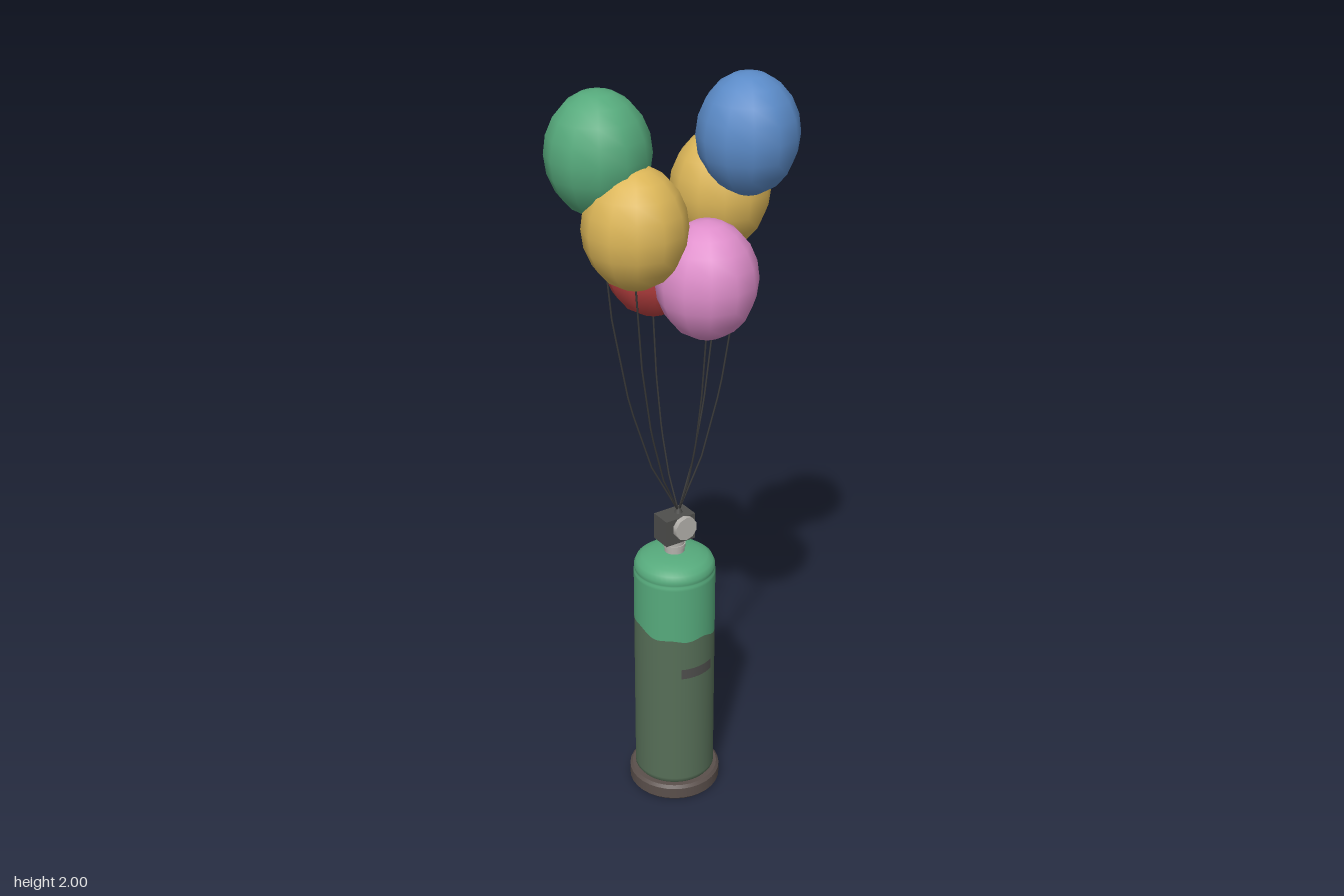
import * as THREE from 'three';

const mat = (name, color, side = THREE.FrontSide) => {
  const m = new THREE.MeshStandardMaterial({ color, side });
  m.name = name;
  return m;
};

export function createModel() {
  const model = new THREE.Group();
  model.name = 'balloonsOnGasTank';
  const M = {
    green: mat('green', 0x56aa7c),
    olive: mat('dark green', 0x566e57),
    base: mat('brown rubber', 0x5a4f4b),
    dark: mat('dark metal', 0x4e4e4c),
    silver: mat('silver', 0xb4b1ac),
    string: mat('string', 0x3a3a3a),
    red: mat('red', 0xbe4242),
    yellow: mat('yellow', 0xdcb658),
    blue: mat('blue', 0x5b8bc8),
    pink: mat('pink', 0xdf8ecb),
  };
  const add = (parent, name, geo, material, x = 0, y = 0, z = 0) => {
    const mesh = new THREE.Mesh(geo, material);
    mesh.name = name;
    mesh.position.set(x, y, z);
    parent.add(mesh);
    return mesh;
  };

  // Tank: two lathed shells that meet along a wavy paint line
  const tank = new THREE.Group();
  tank.name = 'tank';
  tank.position.x = 0.003;
  model.add(tank);
  const SEAM = 0.515;
  const paintLine = a => SEAM - 0.014 * Math.sin(a) - 0.008 * Math.cos(a)
    + 0.006 * Math.sin(3 * a + 1.2) + 0.004 * Math.sin(7 * a);
  const shell = profile => {
    const geo = new THREE.LatheGeometry(profile.map(p => new THREE.Vector2(...p)), 48);
    const pos = geo.attributes.position;
    for (let i = 0; i < pos.count; i++) {
      if (Math.abs(pos.getY(i) - SEAM) < 1e-4) {
        pos.setY(i, paintLine(Math.atan2(pos.getX(i), pos.getZ(i))));
      }
    }
    return geo;
  };
  add(tank, 'lowerTank', shell([[0.1, 0.04], [0.109, 0.052], [0.109, 0.06], [0.109, SEAM]]), M.olive);
  add(tank, 'upperTank', shell([
    [0.109, SEAM], [0.109, 0.672], [0.109, 0.68], [0.106, 0.683], [0.107, 0.688], [0.108, 0.698],
    [0.102, 0.712], [0.088, 0.723], [0.065, 0.731], [0.035, 0.736], [0, 0.737],
  ]), M.green);

  // Foot ring with bevelled edges
  const foot = new THREE.Group();
  foot.name = 'foot';
  tank.add(foot);
  add(foot, 'footRing', new THREE.CylinderGeometry(0.125, 0.125, 0.031, 32), M.base, 0, 0.0205, 0);
  add(foot, 'footTopBevel', new THREE.CylinderGeometry(0.118, 0.125, 0.008, 32), M.base, 0, 0.04, 0);
  add(foot, 'footBottomBevel', new THREE.CylinderGeometry(0.125, 0.121, 0.005, 32), M.base, 0, 0.0025, 0);

  // Plain label plate on the front
  add(tank, 'labelPlate', new THREE.CylinderGeometry(0.111, 0.111, 0.03, 8, 1, true, -0.42, 0.9),
    mat('dark metal', 0x4e4e4c, THREE.DoubleSide), 0, 0.41, 0);
  M.dark = tank.getObjectByName('labelPlate').material;

  // Valve: neck, block and round hand wheel
  const valve = new THREE.Group();
  valve.name = 'valve';
  tank.add(valve);
  add(valve, 'neck', new THREE.CylinderGeometry(0.027, 0.027, 0.05, 16), M.silver, 0, 0.755, 0);
  add(valve, 'neckCollar', new THREE.CylinderGeometry(0.03, 0.03, 0.01, 16), M.silver, 0, 0.755, 0);
  add(valve, 'valveBlock', new THREE.BoxGeometry(0.09, 0.074, 0.06), M.dark, 0, 0.81, 0);
  add(valve, 'wheelStem', new THREE.CylinderGeometry(0.01, 0.01, 0.02, 10), M.silver, 0, 0.826, 0.036)
    .rotation.x = Math.PI / 2;
  add(valve, 'handWheel', new THREE.CylinderGeometry(0.033, 0.033, 0.015, 10), M.silver, 0, 0.826, 0.049)
    .rotation.x = Math.PI / 2;
  add(valve, 'nozzle', new THREE.CylinderGeometry(0.006, 0.012, 0.016, 10), M.dark, 0.012, 0.852, 0);

  // Balloons, each on a bowed string from the nozzle
  const start = new THREE.Vector3(0.015, 0.85, 0);
  const balloons = [
    ['green', -0.19, 1.85, -0.03],
    ['blue', 0.187, 1.85, 0.04],
    ['yellow', -0.15, 1.688, 0.062],
    ['yellow', 0.174, 1.69, -0.054],
    ['pink', 0.032, 1.53, 0.096],
    ['red', 0.004, 1.53, -0.099],
  ];
  for (const [colour, x, y, z] of balloons) {
    const group = new THREE.Group();
    group.name = colour + 'Balloon';
    model.add(group);
    const geo = new THREE.SphereGeometry(1, 12, 10);
    geo.scale(0.127, 0.15, 0.127);
    add(group, 'balloon', geo, M[colour], x, y, z);

    const end = new THREE.Vector3(x, y - 0.145, z);
    const bend = new THREE.Vector3(x * 0.8, start.y + (end.y - start.y) * 0.29, z * 0.8);
    const curve = new THREE.QuadraticBezierCurve3(start, bend, end);
    const path = new THREE.CurvePath();
    const pts = curve.getPoints(4);
    for (let i = 0; i < 4; i++) path.add(new THREE.LineCurve3(pts[i], pts[i + 1]));
    add(group, 'string', new THREE.TubeGeometry(path, 16, 0.0025, 5), M.string);
  }
  return model;
}
